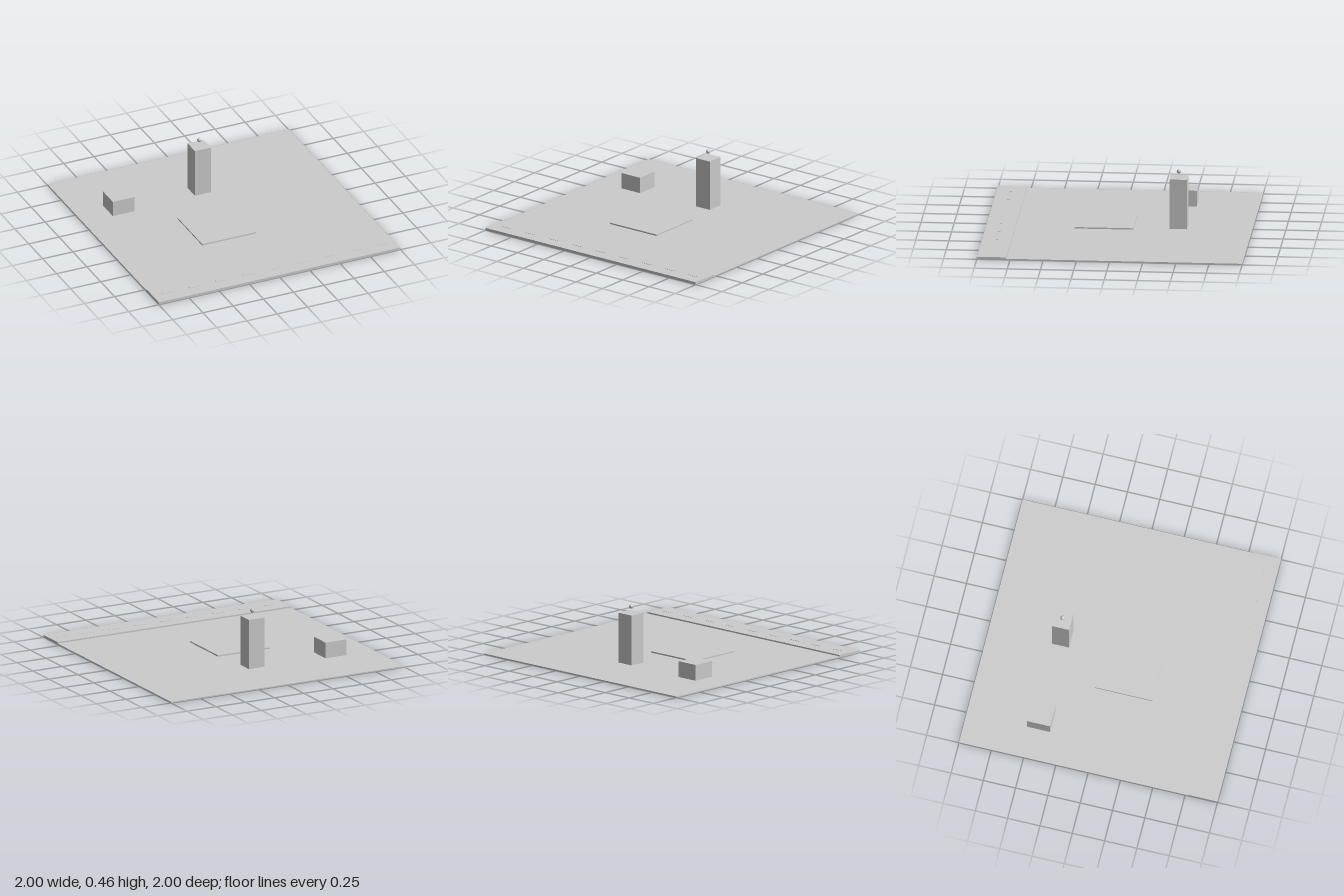
import * as THREE from 'three';

const material = new THREE.MeshStandardMaterial({ color: 0xcccccc });

export function createModel() {
  const model = new THREE.Group();
  const groundTop = 0.009;

  // Box given by its centre in plan, its footprint and its bottom and top heights
  function addBox(name, x, z, width, depth, bottom, top) {
    const mesh = new THREE.Mesh(new THREE.BoxGeometry(width, top - bottom, depth), material);
    mesh.name = name;
    mesh.position.set(x, (bottom + top) / 2, z);
    model.add(mesh);
  }

  addBox('ground', 0, 0, 2, 2, 0, groundTop);

  // Raised areas: road along the front edge and square plaza
  addBox('road', 0, 0.889, 2, 0.222, groundTop, 0.02);
  addBox('plaza', -0.111, 0.111, 0.444, 0.444, groundTop, 0.02);

  // Dashed centre line of the road
  for (let i = 0; i < 9; i++) {
    addBox('roadDash', -0.878 + i * 0.2222, 0.889, 0.089, 0.022, 0.015, 0.022);
  }

  // Buildings
  addBox('lowBuilding', -0.667, -0.444, 0.178, 0.178, groundTop, 0.131);
  addBox('tower', 0, -0.444, 0.133, 0.133, groundTop, 0.394);

  // Beacon floating above the tower
  const beacon = new THREE.Mesh(new THREE.SphereGeometry(0.0165, 24, 16), material);
  beacon.name = 'beacon';
  beacon.position.set(0, 0.442, -0.444);
  model.add(beacon);

  return model;
}
